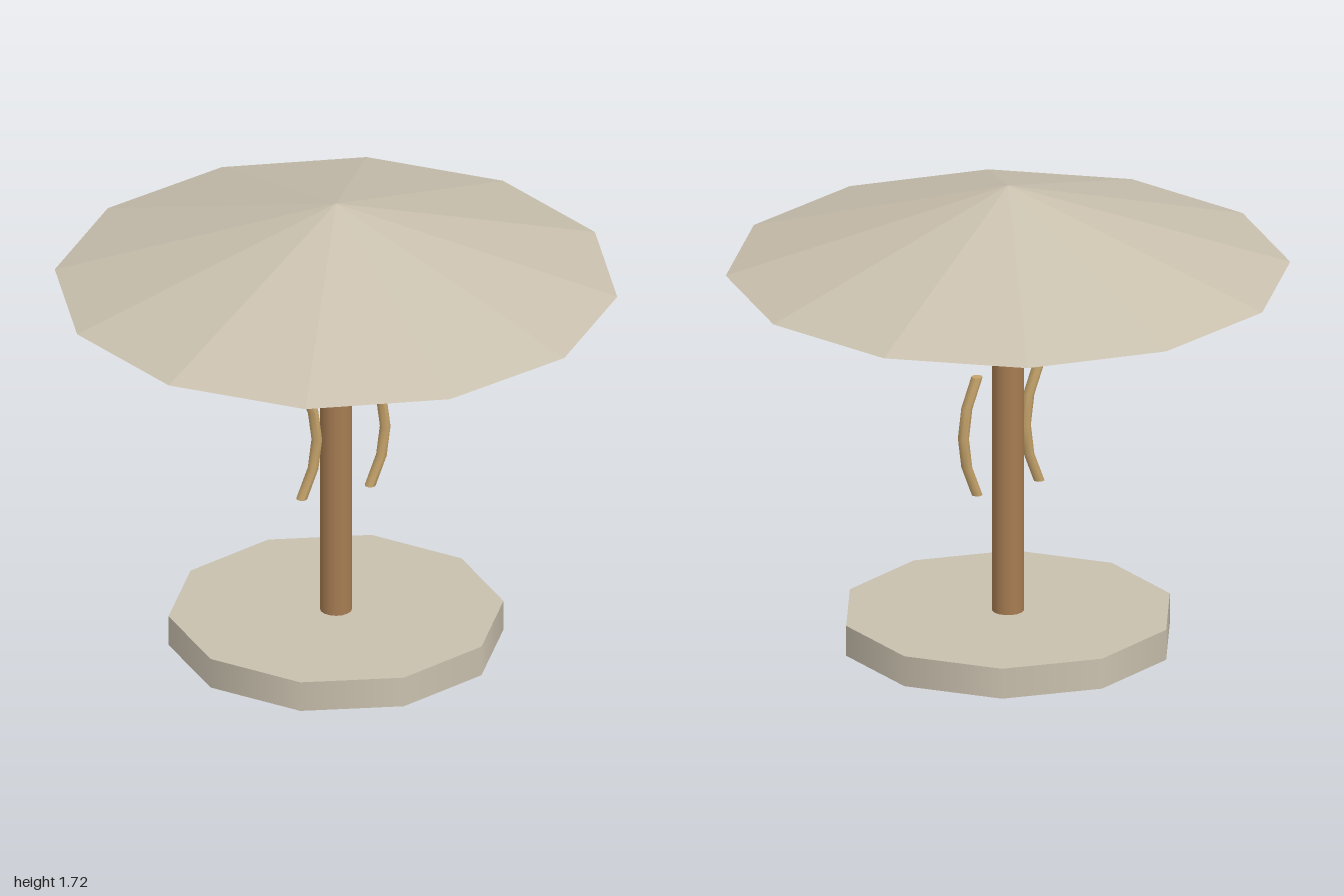
import * as THREE from 'three';

export function createModel() {
  const model = new THREE.Group();
  const stone = new THREE.MeshStandardMaterial({ name: 'pale stone', color: 0xc9c0ae });
  const canvas = new THREE.MeshStandardMaterial({ name: 'pale canopy', color: 0xc9c0ae, flatShading: true });
  const wood = new THREE.MeshStandardMaterial({ name: 'brown wood', color: 0xa67c52 });
  const branch = new THREE.MeshStandardMaterial({ name: 'light wood', color: 0xc4a26a });

  function add(name, geometry, material, x, y) {
    const mesh = new THREE.Mesh(geometry, material);
    mesh.name = name;
    mesh.position.set(x, y, 0);
    model.add(mesh);
  }

  // Ten-sided plinth, round post and twelve-sided canopy
  add('base', new THREE.CylinderGeometry(0.595, 0.595, 0.113, 10), stone, 0, 0.0565);
  add('post', new THREE.CylinderGeometry(0.057, 0.057, 1.3, 16), wood, 0, 0.76);
  add('canopy', new THREE.ConeGeometry(1, 0.315, 12), canvas, 0, 1.5575);

  // Slim rod whose middle bows towards +x
  const height = 0.445;
  const bow = 0.058;
  const rod = new THREE.CylinderGeometry(0.02, 0.02, height, 8, 4);
  const p = rod.attributes.position;
  for (let i = 0; i < p.count; i++) {
    const t = p.getY(i) / (height / 2);
    p.setX(i, p.getX(i) + bow * (1 - t * t));
  }
  rod.computeVertexNormals();

  // Both rods bow the same way
  add('leftHandle', rod, branch, 0.132, 0.7975);
  add('rightHandle', rod, branch, -0.132, 0.7975);
  return model;
}
